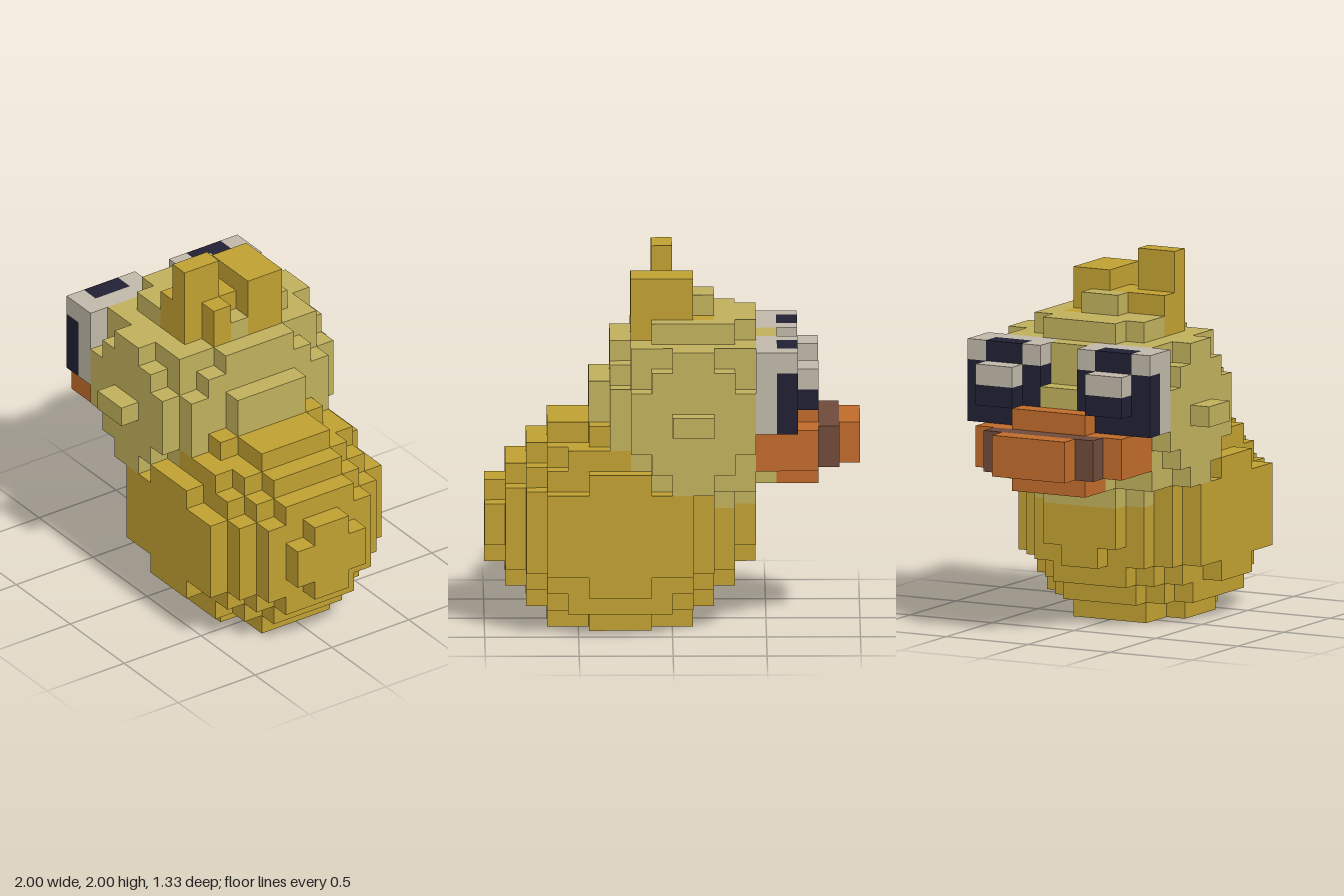
import * as THREE from 'three';

// Grid of cubes, 18 wide (x), 18 tall (y), 12 deep (z)
const UNIT = 1 / 9;
const SIZE = [18, 18, 12];

const material = (name, color) => {
  const m = new THREE.MeshStandardMaterial({ color });
  m.name = name;
  return m;
};

export function createModel() {
  const gold = material('gold', 0xc0a032);
  const straw = material('straw', 0xbfb05c);
  const grey = material('warm grey', 0xbfb7a8);
  const navy = material('dark navy', 0x202034);
  const orange = material('orange', 0xc06b2a);
  const brown = material('brown', 0x6f4a3a);

  const cells = new Map(); // cell key -> part name, later parts replace earlier ones
  const parts = new Map(); // part name -> material
  const key = (i, j, k) => `${i},${j},${k}`;

  // Fill a block given by cell edges
  function block(part, mat, [x0, x1], [y0, y1], [z0, z1], inside = () => true) {
    parts.set(part, mat);
    for (let i = x0; i < x1; i++)
      for (let j = y0; j < y1; j++)
        for (let k = z0; k < z1; k++)
          if (inside(i + 0.5, j + 0.5, k + 0.5)) cells.set(key(i, j, k), part);
  }

  // Fill an ellipsoid; w holds one over each squared radius
  function ellipsoid(part, mat, c, w) {
    block(part, mat, [0, SIZE[0]], [0, SIZE[1]], [0, SIZE[2]], (x, y, z) =>
      w[0] * (x - c[0]) ** 2 + w[1] * (y - c[1]) ** 2 + w[2] * (z - c[2]) ** 2 <= 1);
  }

  // Fill a block on both sides of the middle plane
  function pair(part, mat, x, y, [z0, z1]) {
    block(part, mat, x, y, [z0, z1]);
    block(part, mat, x, y, [12 - z1, 12 - z0]);
  }

  // Round body and head
  ellipsoid('body', gold, [11.5, 5, 6], [0.0235, 0.034, 0.035]);
  ellipsoid('head', straw, [8, 10.5, 6], [0.0418, 0.0375, 0.0321]);
  pair('ears', straw, [7, 9], [10, 11], [0, 1]);

  // Crest tufts
  block('crest', gold, [8, 11], [14, 17], [4, 6]);
  block('crest', gold, [7, 8], [14, 15], [4, 5]);
  block('crest', gold, [8, 10], [15, 16], [6, 7]);
  block('crest', gold, [8, 9], [14, 16], [7, 9]);
  block('crest', gold, [9, 10], [14, 18], [7, 9]);
  block('crest', gold, [10, 11], [14, 16], [7, 8]);

  // Eyes: grey block, dark pupil cross, grey highlight
  pair('eyeWhites', grey, [3, 5], [10, 14], [1, 5]);
  pair('pupils', navy, [3, 4], [10, 13], [1, 5]);
  pair('pupils', navy, [3, 4], [13, 14], [2, 4]);
  pair('pupils', navy, [2, 3], [11, 12], [2, 4]);
  pair('eyeHighlights', grey, [2, 3], [12, 13], [2, 4]);

  // Beak, tapering towards the tip, with a brown band
  block('beak', orange, [2, 5], [8, 10], [2, 10]);
  block('beak', orange, [2, 4], [7, 8], [4, 8]);
  block('beak', orange, [2, 3], [10, 11], [4, 8]);
  block('beakBand', brown, [1, 2], [8, 10], [3, 9]);
  block('beakTip', orange, [0, 1], [8, 10], [4, 8]);

  // Keep only the outward faces of each part
  const faces = new Map([...parts.keys()].map((p) => [p, { pos: [], nor: [], idx: [] }]));
  const corners = [[0, 0], [1, 0], [1, 1], [0, 1]];
  for (const [cellKey, part] of cells) {
    const cell = cellKey.split(',').map(Number);
    const { pos, nor, idx } = faces.get(part);
    for (let a = 0; a < 3; a++) {
      for (const s of [1, -1]) {
        const next = [...cell];
        next[a] += s;
        if (cells.has(key(...next))) continue;
        const start = pos.length / 3;
        for (const [u, v] of corners) {
          const p = [...cell];
          if (s > 0) p[a] += 1;
          p[(a + 1) % 3] += u;
          p[(a + 2) % 3] += v;
          pos.push((p[0] - 9) * UNIT, p[1] * UNIT, (p[2] - 6) * UNIT);
          const n = [0, 0, 0];
          n[a] = s;
          nor.push(...n);
        }
        const order = s > 0 ? [0, 1, 2, 0, 2, 3] : [0, 2, 1, 0, 3, 2];
        idx.push(...order.map((o) => start + o));
      }
    }
  }

  const group = new THREE.Group();
  group.name = 'blockBird';
  for (const [part, { pos, nor, idx }] of faces) {
    const geometry = new THREE.BufferGeometry();
    geometry.setAttribute('position', new THREE.Float32BufferAttribute(pos, 3));
    geometry.setAttribute('normal', new THREE.Float32BufferAttribute(nor, 3));
    geometry.setIndex(idx);
    const mesh = new THREE.Mesh(geometry, parts.get(part));
    mesh.name = part;
    group.add(mesh);
  }
  return group;
}
